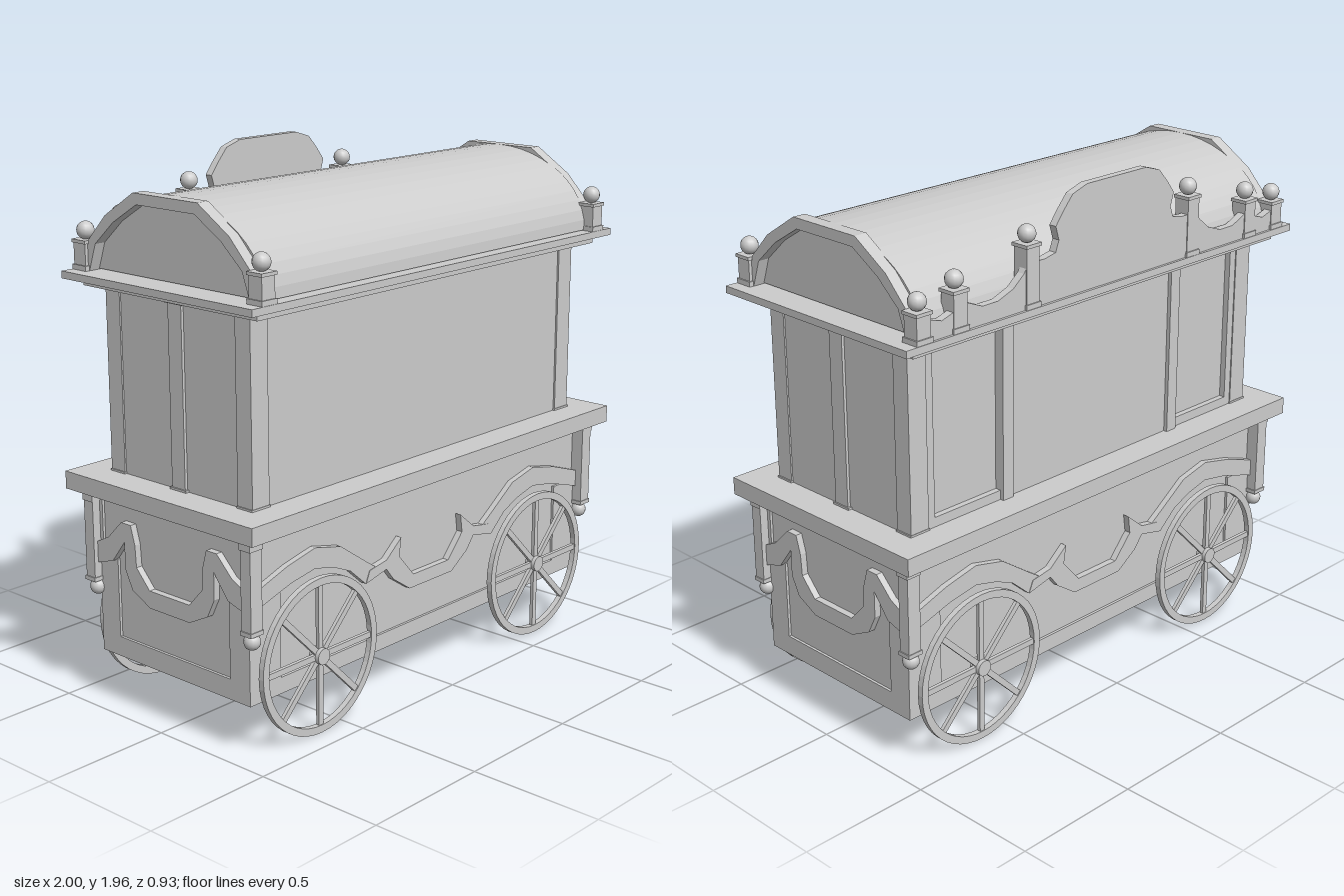
import * as THREE from 'three';

const mat = new THREE.MeshStandardMaterial({ color: 0xcccccc });

function add(parent, name, geo, x = 0, y = 0, z = 0) {
  const m = new THREE.Mesh(geo, mat);
  m.name = name;
  m.position.set(x, y, z);
  parent.add(m);
  return m;
}

// Box given by its centre x/z and its bottom and top heights
function box(parent, name, w, d, y0, y1, x = 0, z = 0) {
  return add(parent, name, new THREE.BoxGeometry(w, y1 - y0, d), x, (y0 + y1) / 2, z);
}

const pts = (list) => list.map(([x, y]) => new THREE.Vector2(x, y));

// Mirrors the right half of an outline, listed from one end to the other
const mirror = (half) => [...half, ...half.slice().reverse().map(([x, y]) => [-x, y])];

const rect = (x0, y0, x1, y1) => [[x0, y0], [x1, y0], [x1, y1], [x0, y1]];

// Flat plate extruded towards +z
function plate(outline, depth, holes = []) {
  const s = new THREE.Shape(pts(outline));
  holes.forEach((h) => s.holes.push(new THREE.Path(pts(h))));
  return new THREE.ExtrudeGeometry(s, { depth, bevelEnabled: false });
}

function ball(parent, name, x, y, z, r) {
  add(parent, name, new THREE.SphereGeometry(r, 14, 10), x, y, z);
}

function makeWheel() {
  const g = new THREE.Group();
  g.name = 'wheel';
  const rim = new THREE.Shape().absarc(0, 0, 0.288, 0, Math.PI * 2);
  rim.holes.push(new THREE.Path().absarc(0, 0, 0.26, 0, Math.PI * 2));
  add(g, 'rim', new THREE.ExtrudeGeometry(rim, { depth: 0.022, bevelEnabled: false, curveSegments: 24 }), 0, 0, -0.011);
  for (let i = 0; i < 4; i++) {
    add(g, 'spokePair', new THREE.BoxGeometry(0.53, 0.022, 0.014)).rotation.z = (i * Math.PI) / 4;
  }
  add(g, 'hub', new THREE.CylinderGeometry(0.03, 0.03, 0.045, 16)).rotation.x = Math.PI / 2;
  return g;
}

// Framed wall of the lower body, with its shallow T-shaped panel
function framedWall(half, topHalf, lowHalf, lowY) {
  const hole = mirror([[lowHalf, lowY], [lowHalf, 0.56], [topHalf, 0.56], [topHalf, 0.77]]);
  return plate(rect(-half, 0.19, half, 0.8), 0.01, [hole]);
}

// Barrel arch standing on the cornice
function arch(a, b, n) {
  const list = [];
  for (let i = 0; i <= n; i++) {
    const t = (i / n) * Math.PI;
    list.push([a * Math.cos(t), 1.585 + b * Math.sin(t)]);
  }
  return list;
}

export function createModel() {
  const root = new THREE.Group();
  root.name = 'wagon';

  // Lower body: core, underside with a wide rim and four framed walls
  const body = new THREE.Group();
  body.name = 'lowerBody';
  root.add(body);
  box(body, 'core', 1.84, 0.73, 0.262, 0.8);
  const skirt = add(body, 'undersideRim', plate(rect(-0.92, -0.365, 0.92, 0.365), 0.072,
    [rect(-0.78, -0.28, 0.78, 0.28)]), 0, 0.262, 0);
  skirt.rotation.x = Math.PI / 2;

  const longSwag = mirror([[0.12, 0.39], [0.21, 0.45], [0.25, 0.5], [0.36, 0.475], [0.34, 0.52],
    [0.25, 0.535], [0.17, 0.6], [0.18, 0.53], [0.1, 0.44]]);
  const wheelArch = [[0.925, 0.53], [0.925, 0.595], [0.76, 0.65], [0.62, 0.68], [0.49, 0.65], [0.36, 0.56],
    [0.3, 0.52], [0.36, 0.475], [0.44, 0.545], [0.52, 0.58], [0.62, 0.605], [0.74, 0.585]];
  const endSwag = mirror([[0.1, 0.425], [0.19, 0.47], [0.225, 0.54], [0.225, 0.64], [0.29, 0.555], [0.37, 0.53],
    [0.37, 0.61], [0.31, 0.64], [0.24, 0.71], [0.19, 0.71], [0.17, 0.64], [0.165, 0.56], [0.1, 0.49]]);

  for (const turn of [0, Math.PI]) {
    const side = new THREE.Group();
    side.name = 'longSide';
    side.rotation.y = turn;
    body.add(side);
    add(side, 'wallFrame', framedWall(0.93, 0.91, 0.78, 0.25), 0, 0, 0.365);
    add(side, 'swag', plate(longSwag, 0.026), 0, 0, 0.364);
    for (const s of [1, -1]) {
      const outline = wheelArch.map(([x, y]) => [s * x, y]);
      add(side, 'wheelArchDrape', plate(outline, 0.024), 0, 0, 0.364);
      const wheel = makeWheel();
      wheel.position.set(s * 0.62, 0.29, 0.405);
      side.add(wheel);
    }
    const end = new THREE.Group();
    end.name = 'endSide';
    end.rotation.y = turn + Math.PI / 2;
    body.add(end);
    add(end, 'wallFrame', framedWall(0.374, 0.355, 0.28, 0.265), 0, 0, 0.92);
    add(end, 'swag', plate(endSwag, 0.026), 0, 0, 0.919);
  }

  // Counter ledge
  box(root, 'ledge', 2, 0.93, 0.8, 0.865);

  // Cabin with walls set just behind the corner posts
  const cabin = new THREE.Group();
  cabin.name = 'cabin';
  root.add(cabin);
  box(cabin, 'core', 1.752, 0.668, 0.865, 1.53, 0, 0.01);
  const door = (s) => rect(Math.min(s * 0.46, s * 0.77), 0.9, Math.max(s * 0.46, s * 0.77), 1.5);
  add(cabin, 'backWall', plate(rect(-0.81, 0.865, 0.81, 1.53), 0.025, [door(1), door(-1)]), 0, 0, -0.347);

  for (const sx of [1, -1]) {
    box(cabin, 'doorPilaster', 0.05, 0.04, 0.865, 1.53, sx * 0.435, -0.342);
    box(cabin, 'endPilaster', 0.03, 0.065, 0.865, 1.53, sx * 0.872, 0);
    box(cabin, 'endPilasterCap', 0.04, 0.09, 1.518, 1.53, sx * 0.872, 0);
    box(cabin, 'endPilasterFoot', 0.04, 0.08, 0.865, 0.873, sx * 0.872, 0);
    for (const sz of [1, -1]) {
      box(cabin, 'cornerPost', 0.08, 0.07, 0.865, 1.53, sx * 0.842, sz * 0.316);
      box(cabin, 'cornerPostCap', 0.092, 0.078, 1.52, 1.53, sx * 0.844, sz * 0.316);
      box(cabin, 'cornerPostFoot', 0.086, 0.074, 0.865, 0.872, sx * 0.843, sz * 0.316);
      // Hanging posts under the ledge
      box(root, 'hangingPost', 0.054, 0.046, 0.47, 0.8, sx * 0.935, sz * 0.393);
      box(root, 'hangingPostTop', 0.062, 0.052, 0.76, 0.8, sx * 0.935, sz * 0.393);
      box(root, 'hangingPostFoot', 0.062, 0.052, 0.46, 0.475, sx * 0.935, sz * 0.393);
      ball(root, 'hangingBall', sx * 0.932, 0.433, sz * 0.39, 0.03);
    }
  }

  // Cornice
  box(root, 'corniceLower', 1.84, 0.845, 1.528, 1.556);
  box(root, 'corniceUpper', 1.965, 0.925, 1.556, 1.582);

  // Barrel roof with a raised rim at each gable
  const roof = add(root, 'barrelRoof', plate(arch(0.418, 0.292, 24), 1.75), -0.875, 0, 0);
  roof.rotation.y = Math.PI / 2;
  const rimOuter = mirror([[0.418, 1.58], [0.39, 1.69], [0.3, 1.785], [0.155, 1.877]]);
  const rimInner = mirror([[0.39, 1.58], [0.355, 1.68], [0.26, 1.765], [0.14, 1.838]]);
  for (const x of [-0.918, 0.868]) {
    add(root, 'gableRim', plate([...rimOuter, ...rimInner.slice().reverse()], 0.05), x, 0, 0)
      .rotation.y = Math.PI / 2;
  }

  // Post with a ball on top
  function finial(x, z, ballY) {
    const g = new THREE.Group();
    g.name = 'finial';
    root.add(g);
    box(g, 'post', 0.06, 0.06, 1.58, ballY - 0.03, x, z);
    box(g, 'cap', 0.07, 0.07, ballY - 0.042, ballY - 0.03, x, z);
    box(g, 'foot', 0.07, 0.07, 1.58, 1.6, x, z);
    ball(g, 'ball', x, ballY, z, 0.032);
  }
  for (const s of [1, -1]) {
    finial(s * 0.9, 0.425, 1.718);
    finial(s * 0.9, -0.425, 1.718);
    finial(s * 0.74, -0.425, 1.755);
    finial(s * 0.41, -0.425, 1.835);
  }

  // Scalloped parapet along the back
  const crest = mirror([[0.9, 1.58], [0.9, 1.67], [0.87, 1.655], [0.82, 1.64], [0.77, 1.655], [0.74, 1.69],
    [0.7, 1.67], [0.64, 1.645], [0.57, 1.645], [0.5, 1.67], [0.45, 1.71], [0.43, 1.74], [0.35, 1.74],
    [0.3, 1.75], [0.285, 1.79], [0.3, 1.84], [0.265, 1.885], [0.22, 1.935], [0.15, 1.957]]);
  add(root, 'parapet', plate(crest, 0.03), 0, 0, -0.452);

  return root;
}
